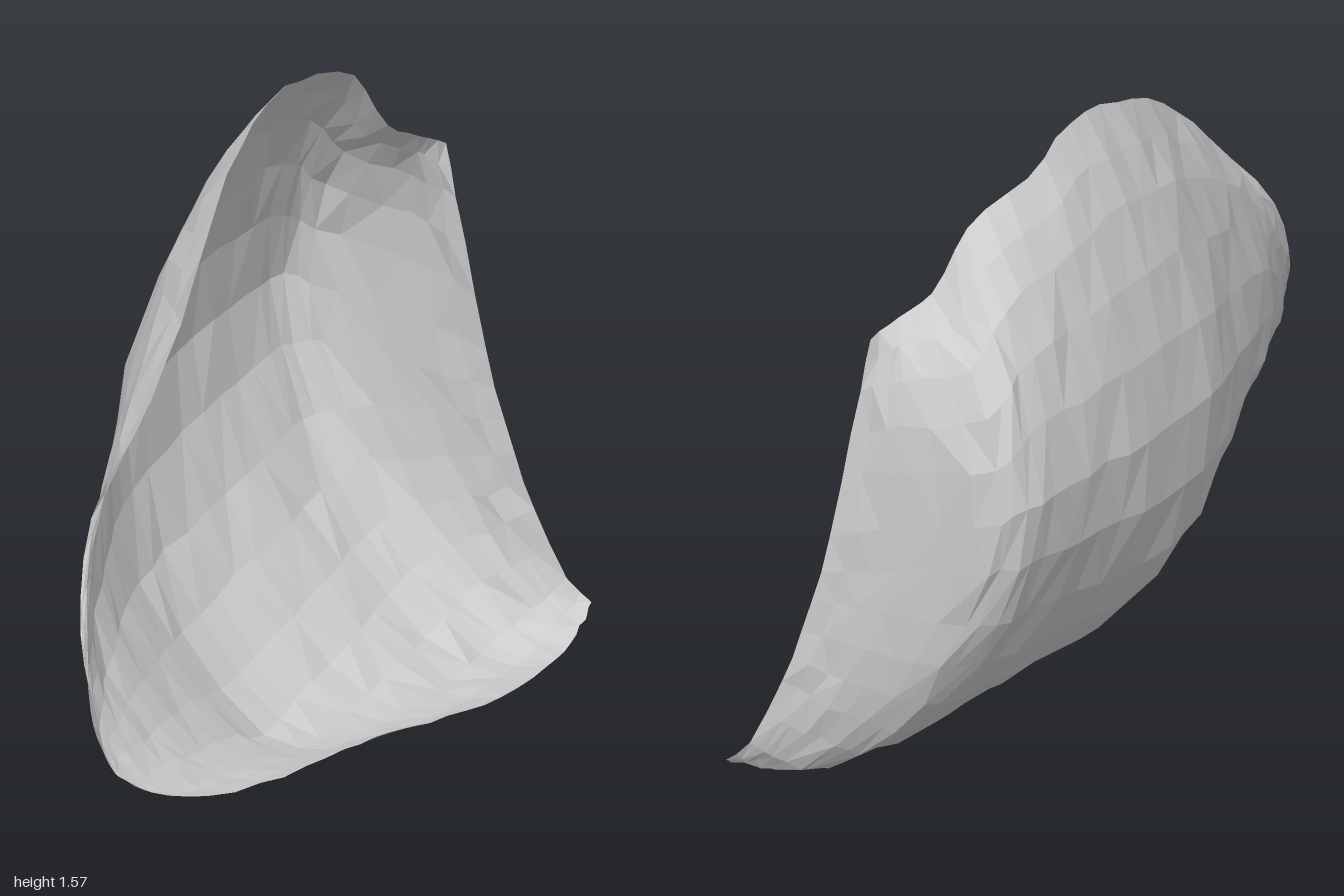
import * as THREE from 'three';

// Cross-sections from the pointed tip to the end wall:
// lower rim, deepest point of the bowl, upper rim, lower and upper roundness
const SECTIONS = [
  [[-0.98, 0.31, 0.72], [-1.0, 0.36, 0.68], [-1.0, 0.43, 0.65], 0, 0],
  [[-0.93, 0.28, 0.78], [-0.97, 0.42, 0.57], [-0.95, 0.6, 0.49], 0.4, 0.4],
  [[-0.78, 0.25, 0.8], [-0.87, 0.53, 0.41], [-0.85, 0.85, 0.38], 0.8, 0.8],
  [[-0.5, 0.22, 0.7], [-0.73, 0.63, 0.19], [-0.65, 1.1, 0.33], 1, 1],
  [[-0.2, 0.17, 0.49], [-0.51, 0.7, -0.1], [-0.45, 1.31, 0.2], 1.1, 1],
  [[0.05, 0.12, 0.32], [-0.29, 0.76, -0.36], [-0.2, 1.49, -0.04], 1.25, 1],
  [[0.3, 0.07, 0.17], [-0.02, 0.8, -0.56], [0.02, 1.57, -0.22], 0.95, 1],
  [[0.55, 0.025, 0.01], [0.22, 0.83, -0.7], [0.22, 1.55, -0.39], 0.65, 1],
  [[0.78, 0.015, -0.15], [0.4, 0.85, -0.8], [0.43, 1.5, -0.47], 0.5, 1],
  [[0.89, 0.035, -0.22], [0.51, 0.83, -0.79], [0.53, 1.35, -0.48], 0.4, 1.5],
  [[0.96, 0.07, -0.27], [0.67, 0.77, -0.61], [0.62, 1.31, -0.48], 0.25, 1.5],
  [[1.0, 0.1, -0.3], [0.8, 0.7, -0.45], [0.7, 1.27, -0.49], 0, 0],
];

// Section shape as [inward fraction, height fraction]
const LOWER_ROUND = [[0, 0], [0.2, -0.07], [0.42, -0.05], [0.68, 0.17], [0.9, 0.52], [1, 1]];
const LOWER_STRAIGHT = [[0, 0], [0.2, 0.06], [0.5, 0.32], [0.68, 0.52], [0.85, 0.75], [1, 1]];
const UPPER = [[0.2, 0.45], [0.58, 0.8], [1, 1]];

const ROWS = 14, COLS = 33;

function seeded(seed) {
  return () => {
    seed = (seed * 16807) % 2147483647;
    return seed / 2147483647 - 0.5;
  };
}

const mix = THREE.MathUtils.lerp;

// Point on the way from a to b, with height moving separately
function blend(a, b, inward, up) {
  return new THREE.Vector3(mix(a[0], b[0], inward), mix(a[1], b[1], up), mix(a[2], b[2], inward));
}

function sectionCurve([low, deep, high, lowerRound, upperRound]) {
  const points = LOWER_ROUND.map(([f, h], i) => {
    const [sf, sh] = LOWER_STRAIGHT[i];
    return blend(low, deep, mix(sf, f, lowerRound), mix(sh, h, lowerRound));
  });
  for (const [f, h] of UPPER) points.push(blend(deep, high, mix(h, f, upperRound), h));
  return new THREE.CatmullRomCurve3(points, false, 'centripetal');
}

function shellGeometry() {
  const random = seeded(17);
  const curves = SECTIONS.map(sectionCurve);
  const positions = [], index = [];

  for (let r = 0; r <= ROWS; r++) {
    const across = curves.map((c) => c.getPoint(r / ROWS));
    const line = new THREE.CatmullRomCurve3(across, false, 'centripetal');
    for (let c = 0; c <= COLS; c++) {
      const inside = r > 0 && r < ROWS && c < COLS;
      const p = line.getPoint(c / COLS);
      // slight unevenness for the chipped surface, fading out at the tip
      const rough = (inside ? 0.014 : 0.006) * Math.min(1, c / 9);
      p.x += random() * rough;
      p.y = Math.max(0, p.y + random() * rough);
      p.z += random() * rough;
      positions.push(p.x, p.y, p.z);
    }
  }
  const w = COLS + 1;
  for (let r = 0; r < ROWS; r++) {
    for (let c = 0; c < COLS; c++) {
      const a = r * w + c, b = a + 1, d = a + w, e = d + 1;
      if (random() > 0) index.push(a, b, e, a, e, d);
      else index.push(a, b, d, b, e, d);
    }
  }
  const geometry = new THREE.BufferGeometry();
  geometry.setAttribute('position', new THREE.Float32BufferAttribute(positions, 3));
  geometry.setIndex(index);
  geometry.computeVertexNormals();
  return geometry;
}

export function createModel() {
  const group = new THREE.Group();
  group.name = 'curvedShell';

  const stone = new THREE.MeshStandardMaterial({ color: 0xcccccc, flatShading: true, side: THREE.DoubleSide });
  stone.name = 'pale grey';

  // thin bowl-shaped fragment, open towards the front
  const shell = new THREE.Mesh(shellGeometry(), stone);
  shell.name = 'shell';
  group.add(shell);
  return group;
}
